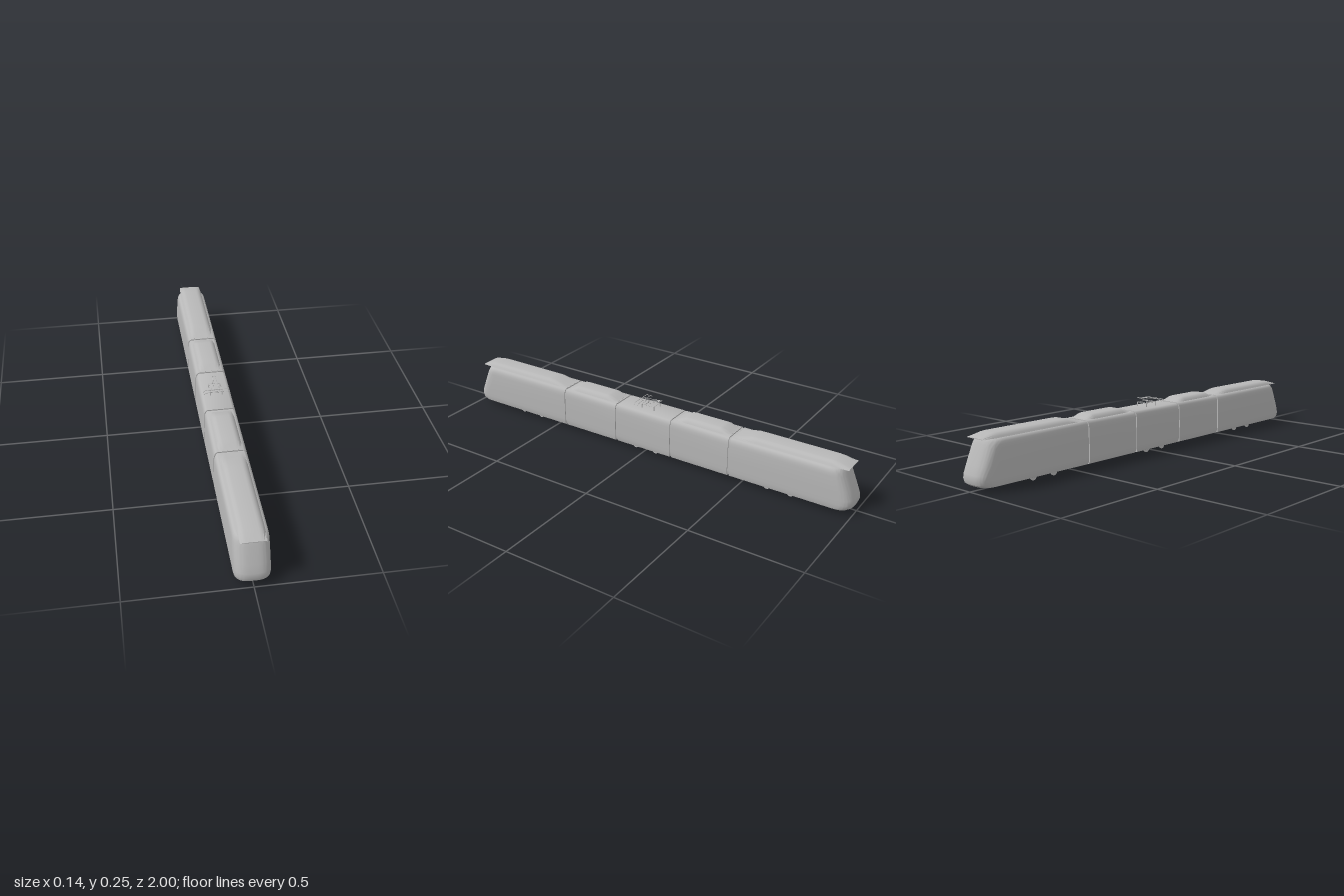
import * as THREE from 'three';
import { toCreasedNormals } from 'three/addons/utils/BufferGeometryUtils.js';

// Body profile from floor to roof: height, half width, nose position
const PROFILE = [
  [0.017, 0.064, 0.968], [0.019, 0.069, 0.982], [0.028, 0.0712, 0.994], [0.045, 0.072, 0.999],
  [0.065, 0.072, 0.995], [0.1, 0.072, 0.981], [0.165, 0.071, 0.954], [0.178, 0.0695, 0.948],
  [0.188, 0.067, 0.943], [0.196, 0.062, 0.937], [0.2, 0.054, 0.928],
];
const JOINTS = [0.147, 0.44];
const GAP = 0.005;

// Closed loft through rings that run counter-clockwise around the direction of travel
function loft(rings, crease = 0.6) {
  const pos = [];
  const tri = (a, b, c) => pos.push(...a, ...b, ...c);
  const n = rings[0].length;
  const centre = (ring) => [0, 1, 2].map((k) => ring.reduce((s, p) => s + p[k], 0) / n);
  const first = rings[0], last = rings[rings.length - 1];
  const c0 = centre(first), c1 = centre(last);
  for (let i = 0; i < n; i++) {
    const j = (i + 1) % n;
    for (let r = 0; r < rings.length - 1; r++) {
      const a = rings[r], b = rings[r + 1];
      tri(a[i], a[j], b[j]);
      tri(a[i], b[j], b[i]);
    }
    tri(c0, first[j], first[i]);
    tri(c1, last[i], last[j]);
  }
  const geo = new THREE.BufferGeometry();
  geo.setAttribute('position', new THREE.Float32BufferAttribute(pos, 3));
  return toCreasedNormals(geo, crease);
}

// Straight car section between two z positions, optionally inset
function sectionGeometry(z0, z1, inset = 0) {
  const side = PROFILE.map(([y, w]) => [w - inset, THREE.MathUtils.clamp(y, 0.017 + inset, 0.2 - inset)]);
  const outline = [...side, ...[...side].reverse().map(([x, y]) => [-x, y])];
  return loft([z0, z1].map((z) => outline.map(([x, y]) => [x, y, z])));
}

// End car: plan outlines with a rounded nose, stacked upwards
function cabGeometry(zBack) {
  const steps = 28, depth = 0.065, power = 0.68;
  return loft(PROFILE.map(([y, w, nose]) => {
    const ring = [[-w, y, zBack]];
    for (let i = 0; i <= steps; i++) {
      const t = Math.PI * (1 - i / steps), c = Math.cos(t), s = Math.max(0, Math.sin(t));
      ring.push([w * Math.sign(c) * Math.abs(c) ** power, y, nose - depth + depth * s ** power]);
    }
    ring.push([w, y, zBack]);
    return ring;
  }));
}

// Roof fairing: stations hold z, relative height and relative width
function fairingGeometry(stations) {
  const half = [[0.055, 0], [0.051, 0.0065], [0.044, 0.0135], [0.036, 0.0175], [0.028, 0.019]];
  return loft(stations.map(([z, h, w]) => {
    const right = half.map(([x, y]) => [x * w, 0.2 + y * h, z]);
    return [...right, ...[...right].reverse().map(([x, y]) => [-x, y, z])];
  }), 0.5);
}

export function createModel() {
  const grey = new THREE.MeshStandardMaterial({ color: 0xb8b8b8 });
  grey.name = 'plain grey';
  const model = new THREE.Group();
  model.name = 'tram';

  const add = (parent, name, geo, x = 0, y = 0, z = 0) => {
    const mesh = new THREE.Mesh(geo, grey);
    mesh.name = name;
    mesh.position.set(x, y, z);
    parent.add(mesh);
    return mesh;
  };

  // Pairs of wheels on both rails
  const wheelGeo = new THREE.CylinderGeometry(0.016, 0.016, 0.006, 20).rotateZ(Math.PI / 2);
  const addWheels = (parent, positions) => {
    for (const z of positions) for (const x of [-0.046, 0.046]) add(parent, 'wheel', wheelGeo, x, 0.016, z);
  };

  // Centre car
  add(model, 'centreCar', sectionGeometry(-JOINTS[0] + GAP, JOINTS[0] - GAP));
  addWheels(model, [-0.053, 0.053]);

  // Both halves of the train, the rear one turned around
  const cab = cabGeometry(JOINTS[1] + GAP);
  const middle = sectionGeometry(JOINTS[0] + GAP, JOINTS[1] - GAP);
  const endFairing = fairingGeometry([
    [0.45, 0.02, 0.9], [0.48, 0.3, 0.94], [0.53, 0.95, 1], [0.56, 1, 1],
    [0.89, 1, 1], [0.915, 0.9, 0.98], [0.968, 0.15, 0.93],
  ]);
  const middleFairing = fairingGeometry([
    [0.16, 0.02, 0.82], [0.175, 0.3, 0.88], [0.205, 0.92, 0.95], [0.22, 1, 0.95],
    [0.375, 1, 0.95], [0.39, 0.92, 0.95], [0.415, 0.3, 0.88], [0.432, 0.02, 0.82],
  ]);
  for (const [name, turn] of [['frontHalf', 0], ['rearHalf', Math.PI]]) {
    const half = new THREE.Group();
    half.name = name;
    half.rotation.y = turn;
    add(half, 'endCar', cab);
    add(half, 'intermediateCar', middle);
    add(half, 'endRoofFairing', endFairing);
    add(half, 'middleRoofFairing', middleFairing);
    for (const z of JOINTS) add(half, 'bellows', sectionGeometry(z - 0.01, z + 0.01, 0.005));
    addWheels(half, [0.615, 0.725]);
    model.add(half);
  }

  // Folded pantograph
  const panto = new THREE.Group();
  panto.name = 'pantograph';
  model.add(panto);
  const rod = (name, a, b, r = 0.0012) => {
    const from = new THREE.Vector3(...a), to = new THREE.Vector3(...b);
    const dir = to.clone().sub(from);
    const mesh = add(panto, name, new THREE.CylinderGeometry(r, r, dir.length(), 8));
    mesh.position.copy(from).add(to).multiplyScalar(0.5);
    mesh.quaternion.setFromUnitVectors(new THREE.Vector3(0, 1, 0), dir.normalize());
  };
  for (const s of [-1, 1]) {
    rod('baseRail', [s * 0.026, 0.218, -0.03], [s * 0.026, 0.218, 0.034]);
    for (const z of [-0.03, 0.034]) rod('insulator', [s * 0.026, 0.199, z], [s * 0.026, 0.218, z], 0.0022);
    rod('lowerArm', [s * 0.02, 0.219, 0.02], [s * 0.005, 0.243, -0.052]);
    rod('upperArm', [s * 0.005, 0.243, -0.052], [s * 0.012, 0.23, 0.045]);
  }
  for (const z of [-0.03, 0.02, 0.034]) rod('baseCrossbar', [-0.026, 0.218, z], [0.026, 0.218, z]);
  rod('knee', [-0.007, 0.243, -0.052], [0.007, 0.243, -0.052], 0.002);

  // Collector bows with drooping horns
  for (const z of [0.035, 0.055]) {
    const points = [[-0.06, 0.22], [-0.053, 0.228], [-0.044, 0.23], [0, 0.23], [0.044, 0.23], [0.053, 0.228], [0.06, 0.22]];
    const curve = new THREE.CatmullRomCurve3(points.map(([x, y]) => new THREE.Vector3(x, y, z)));
    add(panto, 'collectorBow', new THREE.TubeGeometry(curve, 32, 0.0013, 6));
  }
  for (const x of [-0.012, 0.012]) rod('bowLink', [x, 0.23, 0.035], [x, 0.23, 0.055]);

  return model;
}
